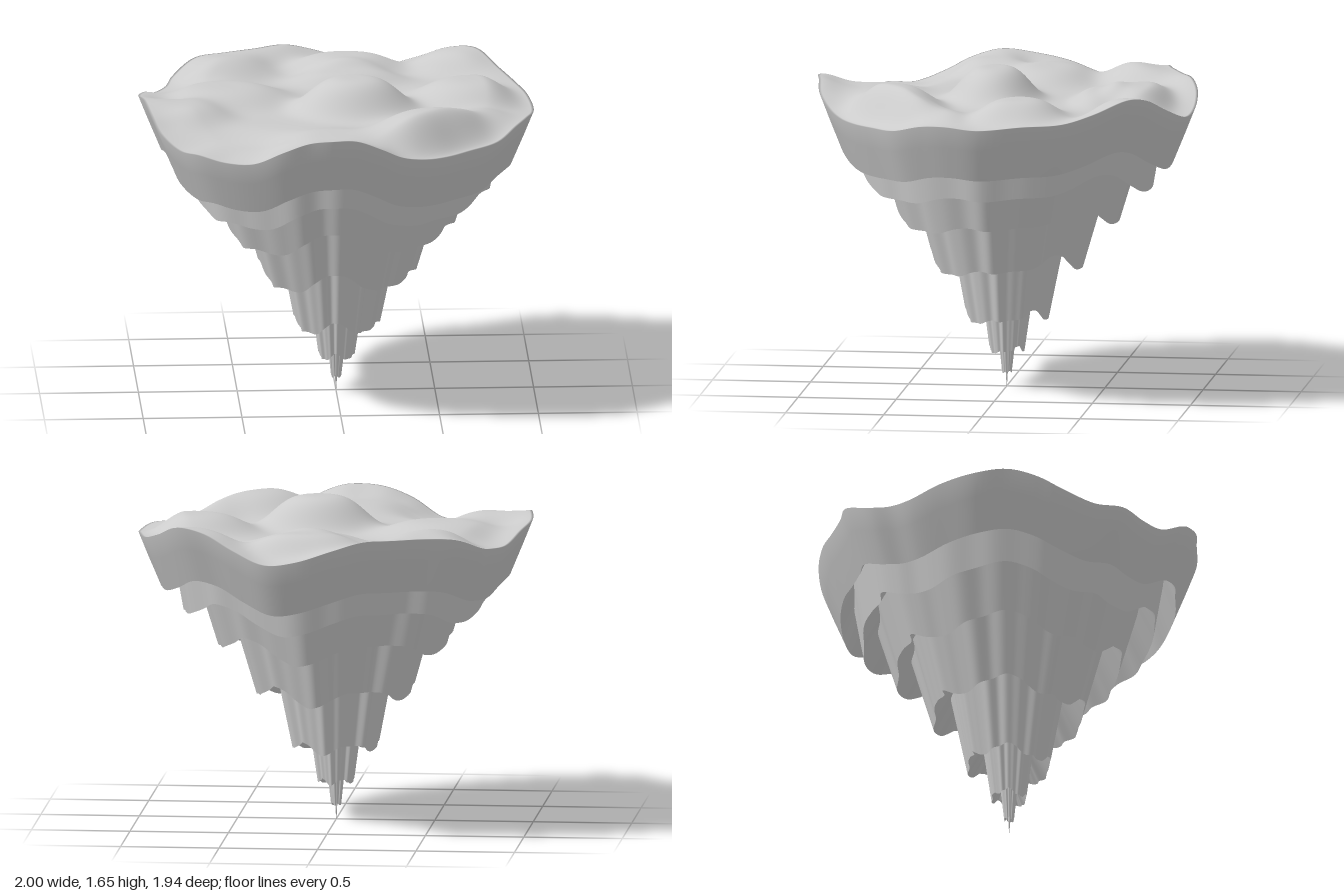
import * as THREE from 'three';

// Rim of the island: x, height, z, counter-clockwise seen from above
const RIM = [
  [1, 1.46, .03], [.98, 1.48, -.2], [.93, 1.49, -.4], [.85, 1.53, -.55], [.74, 1.59, -.71], [.6, 1.57, -.79],
  [.45, 1.5, -.87], [.28, 1.44, -.95], [.12, 1.46, -.975], [-.07, 1.52, -.965], [-.22, 1.56, -.92],
  [-.37, 1.56, -.85], [-.53, 1.56, -.78], [-.68, 1.55, -.73], [-.8, 1.49, -.6], [-.84, 1.47, -.48],
  [-.9, 1.47, -.37], [-.96, 1.52, -.2], [-1, 1.55, -.02], [-.98, 1.57, .15], [-.95, 1.53, .3], [-.91, 1.47, .42],
  [-.82, 1.42, .57], [-.73, 1.43, .7], [-.6, 1.41, .78], [-.46, 1.42, .85], [-.31, 1.5, .93], [-.18, 1.55, .95],
  [-.06, 1.565, .968], [.06, 1.56, .95], [.19, 1.51, .93], [.3, 1.45, .87], [.42, 1.42, .8], [.53, 1.41, .72],
  [.65, 1.41, .61], [.8, 1.42, .48], [.9, 1.46, .33], [.96, 1.47, .2],
];

// Flat-topped hills: x, z, radius in x, radius in z, height
const HILLS = [
  [.09, .05, .26, .2, .17], [.7, -.15, .28, .21, .1], [.48, .54, .3, .24, .12], [-.55, -.15, .31, .23, .08],
  [.08, -.7, .28, .16, .09], [.08, -.48, .27, .12, .06], [-.6, -.68, .3, .24, .11], [.72, -.72, .28, .2, .1],
  [-.82, .18, .25, .17, .08], [-.05, .66, .26, .22, .04], [-.6, .62, .32, .22, -.05], [.75, .27, .2, .15, .04],
];

// Stone layers: outline scale and height factor at the hidden top and at the bottom
const LAYERS = [
  [.82, .92, .77, .735], [.69, .83, .59, .614], [.51, .71, .395, .445], [.302, .55, .215, .255],
  [.133, .34, .09, .133], [.047, .19, .025, .052], [.007, .07, .001, 0],
];

const SEGMENTS = 228;
const curve = new THREE.CatmullRomCurve3(RIM.map(p => new THREE.Vector3(...p)), true);
const rim = Array.from({ length: SEGMENTS }, (_, i) => curve.getPoint(i / SEGMENTS));
const material = new THREE.MeshStandardMaterial({ color: 0xcccccc });

// Skin a list of closed rings
function loft(name, rings) {
  const index = [];
  for (let r = 0; r < rings.length - 1; r++) {
    for (let j = 0; j < SEGMENTS; j++) {
      const k = (j + 1) % SEGMENTS;
      const a = r * SEGMENTS + j, b = r * SEGMENTS + k;
      const c = a + SEGMENTS, d = b + SEGMENTS;
      index.push(a, c, b, b, c, d);
    }
  }
  const geometry = new THREE.BufferGeometry().setFromPoints(rings.flat());
  geometry.setIndex(index);
  geometry.computeVertexNormals();
  const mesh = new THREE.Mesh(geometry, material);
  mesh.name = name;
  return mesh;
}

// Rim outline scaled towards the tip, with vertical ribs and a stronger wave halfway down
function rockRing(scale, height, rib = 0) {
  const wave = .8 * height * (1 - height);
  return rim.map(p => {
    const t = Math.atan2(p.z, p.x);
    const s = scale * (1 + rib * (Math.sin(13 * t + 1) + .6 * Math.sin(21 * t)));
    return new THREE.Vector3(p.x * s, p.y * height + (p.y - 1.54) * wave, p.z * s);
  });
}

// Hilly ground that runs into the rim height near the edge
function groundRing(s) {
  const edge = THREE.MathUtils.smoothstep(s, .76, 1);
  return rim.map(p => {
    const x = p.x * s, z = p.z * s;
    let y = 1.48;
    for (const [hx, hz, rx, rz, h] of HILLS) {
      const d = ((x - hx) / rx) ** 2 + ((z - hz) / rz) ** 2;
      y += h * Math.exp(-(d ** 1.8));
    }
    return new THREE.Vector3(x, THREE.MathUtils.lerp(y, p.y, edge), z);
  });
}

export function createModel() {
  const group = new THREE.Group();
  group.name = 'floatingIsland';

  // Ground and the uppermost wall share one smooth skin
  const top = Array.from({ length: 71 }, (_, i) => groundRing(i / 70));
  top.push(rockRing(.955, .927), rockRing(.885, .818));
  group.add(loft('groundAndUpperWall', top));

  // Each lower layer rises into the hollow underside of the one above
  let last = [.885, .818, 0];
  LAYERS.forEach(([topScale, topHeight, scale, height], i) => {
    const rib = .008 + .006 * i;
    group.add(loft(`underside${i + 1}`, [rockRing(...last), rockRing(topScale, topHeight, rib)]));
    group.add(loft(`rockLayer${i + 1}`, [rockRing(topScale, topHeight, rib), rockRing(scale, height, rib)]));
    last = [scale, height, rib];
  });
  return group;
}
